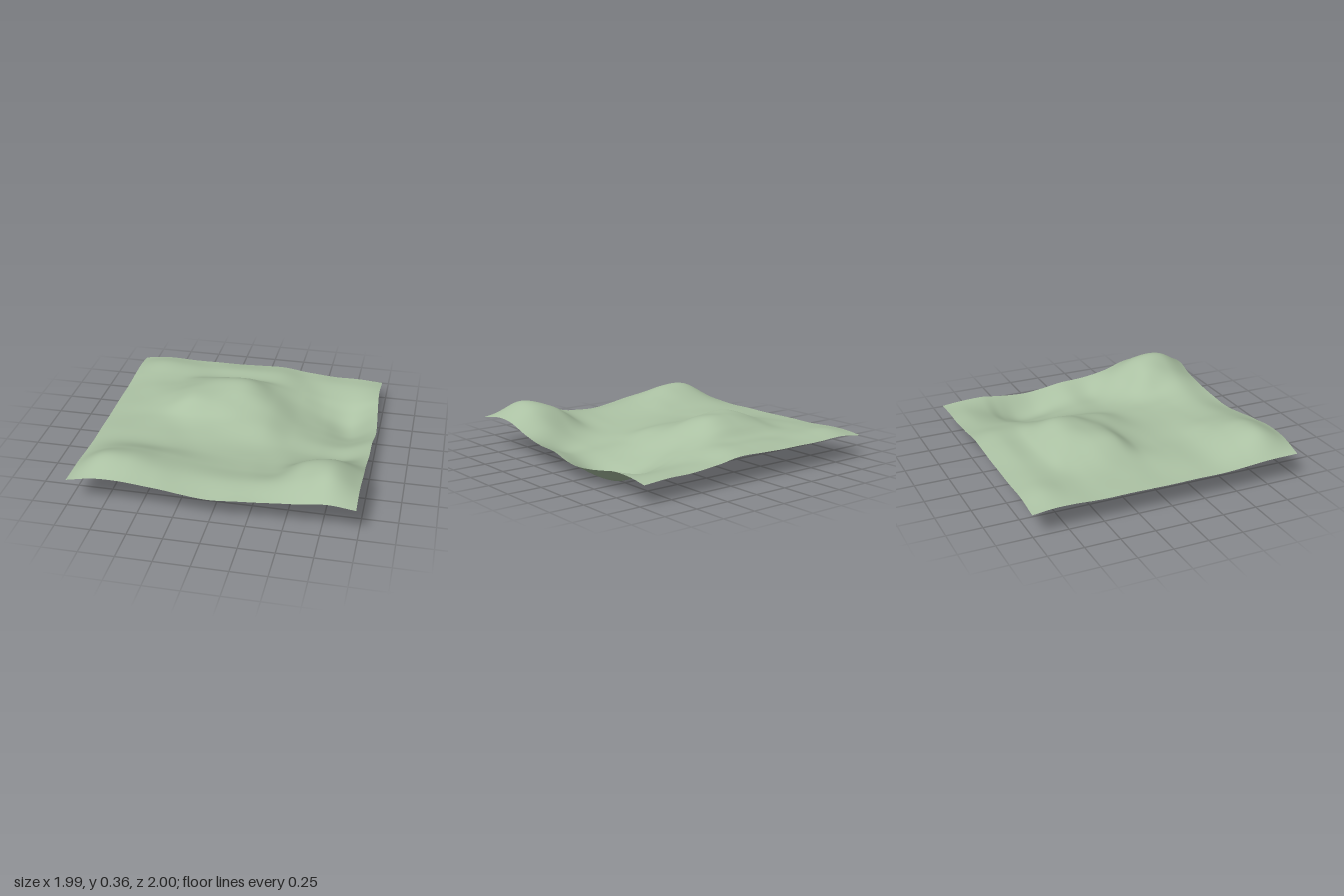
import * as THREE from 'three';

// Ground cross-sections at these depths, closer together around the steep hill;
// each one gives heights in hundredths of a unit from x = -1 to x = 1.
const SECTION_Z = [-1, -0.85, -0.68, -0.58, -0.45, -0.3, -0.15, 0, 0.2, 0.4, 0.6, 0.8, 1];
const SECTION_X = [-1, -0.8, -0.6, -0.4, -0.2, 0, 0.2, 0.4, 0.6, 0.8, 1];
const SECTIONS = [
  [16.5, 18.5, 18, 18, 18, 18.5, 19, 16.5, 14.5, 14.5, 13.5],
  [17.5, 21, 20.5, 20, 20.5, 21, 21, 17, 15, 14.5, 15],
  [17.5, 19.5, 20, 20.5, 21, 21.5, 21, 16.5, 12, 10.5, 15.5],
  [17, 19, 20.5, 24.5, 27, 27.5, 22.5, 15.5, 8.5, 5.5, 14],
  [16.5, 19, 22, 28, 31.7, 32, 23, 13.5, 5, 0.8, 12],
  [16.5, 18.5, 23, 30.2, 31, 30.5, 23, 12.5, 5.5, 1, 11],
  [16.5, 18.5, 22, 28.7, 28, 25.5, 21.5, 12.5, 7.5, 5, 12.5],
  [16.5, 18, 19.5, 20.5, 21, 21.3, 19.5, 12.8, 9.5, 8.5, 15],
  [16.5, 18, 18.5, 18, 17.5, 16.5, 14.8, 12.2, 10, 10, 16.5],
  [16.5, 19, 19.5, 18.5, 17.5, 16.3, 15.2, 14.2, 17, 22, 20],
  [17.5, 24.5, 26.5, 24.5, 20.5, 18, 17.2, 19, 30, 33.8, 25.5],
  [19, 30.3, 30.8, 26.5, 22.5, 20.5, 20.5, 23, 29.5, 35.4, 26],
  [19, 23.5, 24, 21.5, 18.5, 16.5, 17.5, 19, 21, 24.5, 22],
];
// Wavering outlines of the right-hand and front borders
const EDGE_KNOTS = SECTION_X;
const SIDE_EDGE = [0.965, 0.96, 0.97, 0.985, 0.995, 0.985, 0.985, 0.98, 0.985, 0.98, 0.98];
const FRONT_EDGE = [0.98, 0.99, 0.995, 0.99, 0.985, 0.98, 0.975, 0.975, 0.98, 0.995, 0.99];

// Smooth curve through values placed at unevenly spaced knots
function smooth(knots, values, t) {
  const last = knots.length - 1;
  let i = 0;
  while (i < last - 1 && t > knots[i + 1]) i++;
  const slope = (k) => {
    const a = Math.max(k - 1, 0), b = Math.min(k + 1, last);
    return (values[b] - values[a]) / (knots[b] - knots[a]);
  };
  const span = knots[i + 1] - knots[i];
  const f = (t - knots[i]) / span;
  const g = 1 - f;
  return values[i] * (1 + 2 * f) * g * g + values[i + 1] * (3 - 2 * f) * f * f
       + span * f * g * (slope(i) * g - slope(i + 1) * f);
}

// Small uneven ripples over the broad hills
function ripple(x, z) {
  return 0.0015 * Math.sin(9 * x + 5 * z + 1.5 * Math.sin(6 * z))
       + 0.0015 * Math.sin(13 * z - 7 * x + 1.2 * Math.sin(8 * x));
}

export function createModel() {
  const group = new THREE.Group();
  group.name = 'terrain';

  const geometry = new THREE.PlaneGeometry(2, 2, 96, 96);
  geometry.rotateX(-Math.PI / 2);
  const pos = geometry.attributes.position;
  for (let i = 0; i < pos.count; i++) {
    const u = pos.getX(i);
    const v = pos.getZ(i);
    const x = -1 + (u + 1) / 2 * (1 + smooth(EDGE_KNOTS, SIDE_EDGE, v));
    const z = -1 + (v + 1) / 2 * (1 + smooth(EDGE_KNOTS, FRONT_EDGE, u));
    const column = SECTIONS.map((row) => smooth(SECTION_X, row, u));
    pos.setXYZ(i, x, smooth(SECTION_Z, column, v) / 100 + ripple(x, z), z);
  }

  // Rest the lowest hollow on the floor
  geometry.computeBoundingBox();
  geometry.translate(0, -geometry.boundingBox.min.y, 0);
  geometry.computeVertexNormals();

  const ground = new THREE.Mesh(
    geometry,
    new THREE.MeshStandardMaterial({ color: 0xabc1a3, side: THREE.DoubleSide })
  );
  ground.name = 'hillyGround';
  group.add(ground);
  return group;
}
